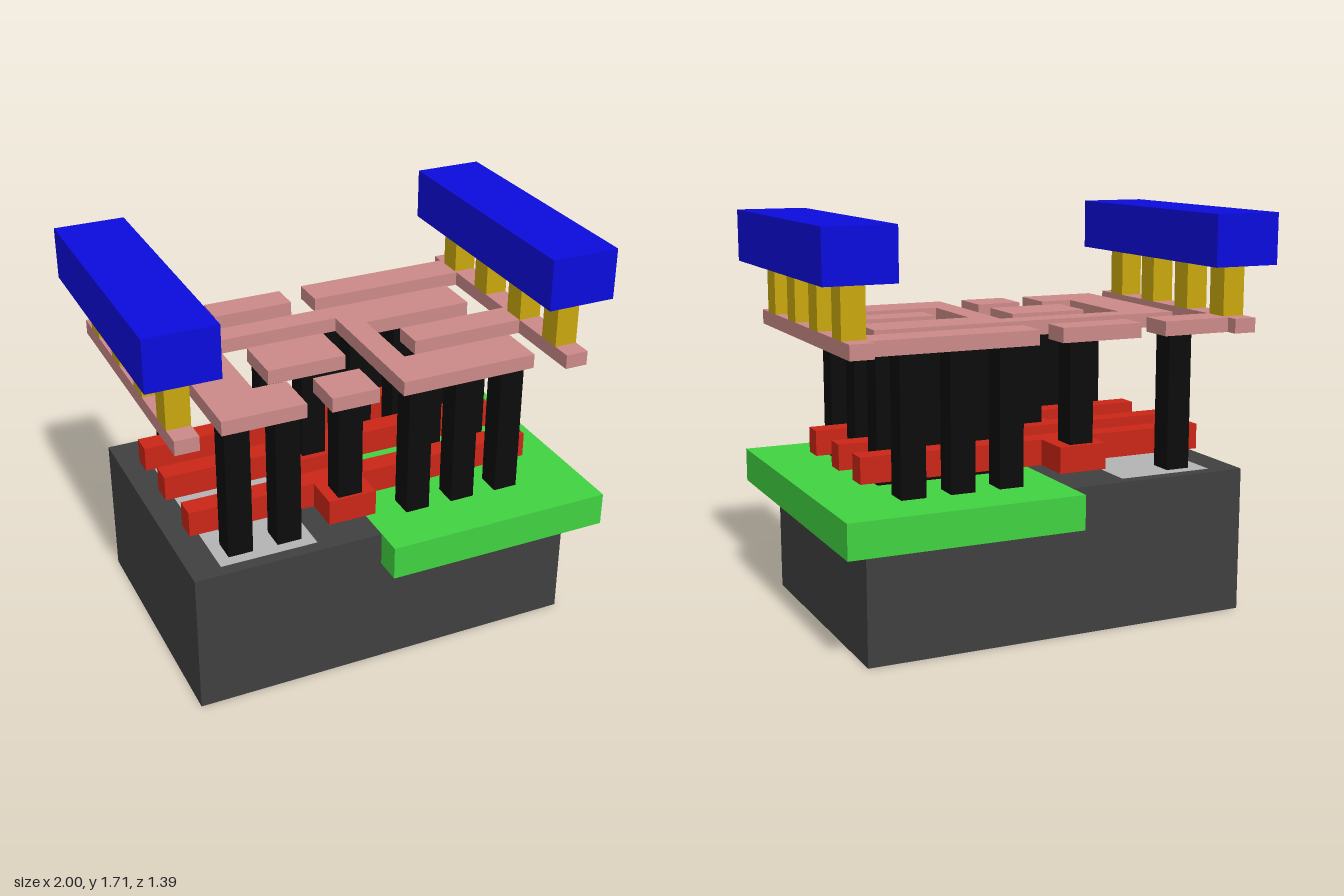
import * as THREE from 'three';

const COLORS = {
  substrate: 0x404040, well: 0x41d441, diffusion: 0xb4b4b4, gate: 0xcc2618,
  contact: 0x0c0c0c, metal: 0xcc8a88, via: 0xcaa80e, rail: 0x0c0cdf,
};
const MATS = {};
for (const k in COLORS) MATS[k] = new THREE.MeshStandardMaterial({ color: COLORS[k], flatShading: true });

// Layer heights
const TOP = 0.625, GATE0 = 0.67, GATE1 = 0.78, METAL0 = 1.21, METAL1 = 1.272, RAIL0 = 1.49, RAIL1 = 1.71;

// Box given by its extents on each axis
function block(parent, name, mat, x0, x1, y0, y1, z0, z1) {
  const m = new THREE.Mesh(new THREE.BoxGeometry(x1 - x0, y1 - y0, z1 - z0), MATS[mat]);
  m.position.set((x0 + x1) / 2, (y0 + y1) / 2, (z0 + z1) / 2);
  m.name = name;
  parent.add(m);
}

// Flat plate extruded from an outline of [x, z] corners
function plate(parent, name, mat, y0, y1, points) {
  const shape = new THREE.Shape(points.map(([x, z]) => new THREE.Vector2(x, -z)));
  const g = new THREE.ExtrudeGeometry(shape, { depth: y1 - y0, bevelEnabled: false });
  g.rotateX(-Math.PI / 2).translate(0, y0, 0);
  const m = new THREE.Mesh(g, MATS[mat]);
  m.name = name;
  parent.add(m);
}

function section(parent, name) {
  const g = new THREE.Group();
  g.name = name;
  parent.add(g);
  return g;
}

export function createModel() {
  const model = new THREE.Group();
  model.name = 'layeredCell';

  // Base block, wide well slab and thin diffusion patch
  block(model, 'substrate', 'substrate', -0.85, 0.85, 0, TOP, -0.575, 0.575);
  block(model, 'well', 'well', -0.035, 0.965, 0.48, TOP + 0.001, -0.695, 0.695);
  block(model, 'diffusionPatch', 'diffusion', -0.72, -0.3, TOP - 0.05, TOP + 0.001, -0.52, 0.52);

  // Three gate bars, each with a contact tab
  const gates = section(model, 'gates');
  const bar = (z0, z1, tabZ, tabBack) => plate(gates, 'gateBar', 'gate', GATE0, GATE1, tabBack
    ? [[-0.78, z1], [0.78, z1], [0.78, z0], [-0.02, z0], [-0.02, tabZ], [-0.23, tabZ], [-0.23, z0], [-0.78, z0]]
    : [[-0.78, z1], [-0.23, z1], [-0.23, tabZ], [-0.02, tabZ], [-0.02, z1], [0.78, z1], [0.78, z0], [-0.78, z0]]);
  bar(0.235, 0.328, 0.485, false);
  bar(-0.065, 0.028, 0.13, false);
  bar(-0.328, -0.235, -0.5, true);

  // Contact columns: [z, x positions, foot height]
  const contacts = section(model, 'contacts');
  const rows = [
    [0.418, [-0.615, -0.402, 0.185, 0.398, 0.61], TOP],
    [0.112, [0.398, 0.61], TOP],
    [-0.15, [0.185, 0.398, 0.61], TOP],
    [-0.418, [-0.598, 0.185, 0.398, 0.61], TOP],
    [0.418, [-0.13], GATE1],
    [0.05, [-0.13], GATE1],
    [-0.42, [-0.13], GATE1],
  ];
  for (const [z, xs, y] of rows)
    for (const x of xs) block(contacts, 'contactColumn', 'contact', x - 0.053, x + 0.053, y, METAL0, z - 0.053, z + 0.053);

  // Metal layer: output wiring, input pads, supply strips with their branches
  const metal = section(model, 'metalLayer');
  plate(metal, 'outputWiring', 'metal', METAL0, METAL1, [
    [-0.69, -0.255], [0.685, -0.255], [0.685, -0.055], [0.19, -0.055], [0.19, 0.305], [0.685, 0.305],
    [0.685, 0.51], [0.085, 0.51], [0.085, -0.147], [-0.48, -0.147], [-0.48, 0.305], [-0.335, 0.305],
    [-0.335, 0.51], [-0.69, 0.51],
  ]);
  block(metal, 'frontInputPad', 'metal', -0.23, -0.025, METAL0, METAL1, 0.325, 0.515);
  block(metal, 'middleInputPad', 'metal', -0.37, -0.025, METAL0, METAL1, -0.035, 0.195);
  block(metal, 'backInputPad', 'metal', -0.385, -0.025, METAL0, METAL1, -0.51, -0.375);
  plate(metal, 'leftSupplyStrip', 'metal', METAL0, METAL1, [
    [0.8, 0.575], [0.9, 0.575], [0.9, -0.575], [0.8, -0.575], [0.8, -0.52], [0.085, -0.52],
    [0.085, -0.365], [0.8, -0.365], [0.8, 0.058], [0.295, 0.058], [0.295, 0.198], [0.8, 0.198],
  ]);
  plate(metal, 'rightSupplyStrip', 'metal', METAL0, METAL1, [
    [-0.9, 0.575], [-0.8, 0.575], [-0.8, -0.365], [-0.495, -0.365], [-0.495, -0.52], [-0.8, -0.52],
    [-0.8, -0.575], [-0.9, -0.575],
  ]);

  // Via posts and upper power rails on both sides
  for (const s of [-1, 1]) {
    const side = section(model, s > 0 ? 'leftPowerRail' : 'rightPowerRail');
    const [v0, v1] = s > 0 ? [0.8, 0.9] : [-0.9, -0.8];
    for (const z of [0.433, 0.147, -0.143, -0.43])
      block(side, 'viaPost', 'via', v0, v1, METAL1, RAIL0, z - 0.053, z + 0.053);
    const [r0, r1] = s > 0 ? [0.7, 1] : [-1, -0.7];
    block(side, 'powerRail', 'rail', r0, r1, RAIL0, RAIL1, -0.575, 0.575);
  }
  return model;
}
